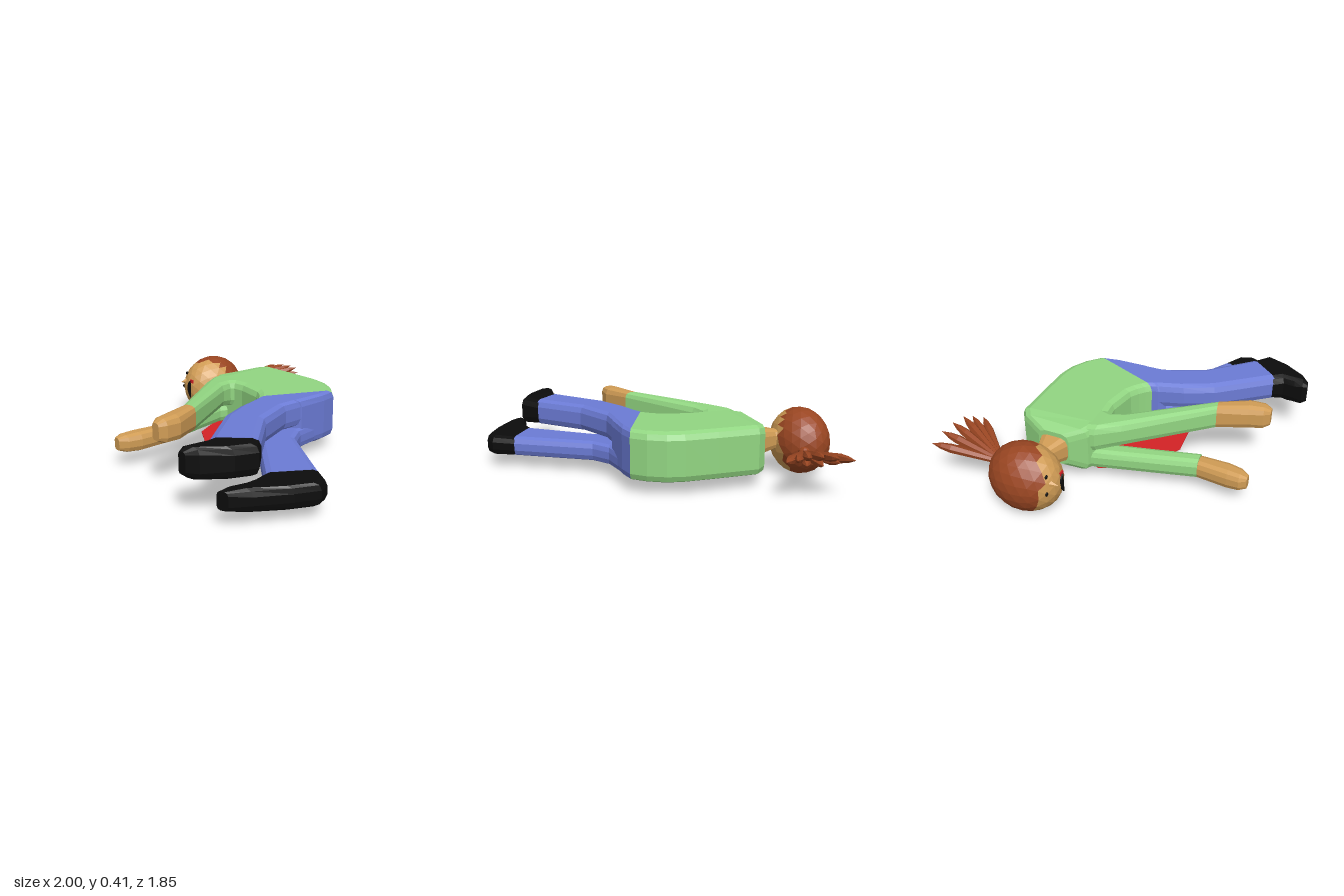
import * as THREE from 'three';

const paint = (name, color) => {
  const m = new THREE.MeshStandardMaterial({ color });
  m.name = name;
  return m;
};

// Rounded-rectangle cross-section between two plan points, from y0 to y1
function section([ax, az, bx, bz, y0, y1]) {
  const w = Math.hypot(bx - ax, bz - az), h = y1 - y0;
  const c = Math.min(0.045, w * 0.32, h * 0.32);
  const ring = [];
  for (let q = 0; q < 4; q++) {
    const su = q === 0 || q === 3 ? 1 : -1, sv = q < 2 ? 1 : -1;
    for (let k = 0; k < 3; k++) {
      const a = (q + k / 2) * Math.PI / 2;
      const u = (w / 2 + su * (w / 2 - c) + c * Math.cos(a)) / w;
      const v = (y0 + y1) / 2 + sv * (h / 2 - c) + c * Math.sin(a);
      ring.push([ax + (bx - ax) * u, v, az + (bz - az) * u]);
    }
  }
  return ring;
}

// Faceted skin over a row of sections, closed at both ends
function loft(stations) {
  const rings = stations.map(section), n = rings[0].length, pos = [];
  const tri = (a, b, c) => pos.push(...a, ...b, ...c);
  for (let i = 0; i < rings.length - 1; i++) {
    for (let j = 0; j < n; j++) {
      const k = (j + 1) % n, p = rings[i], q = rings[i + 1];
      tri(p[j], p[k], q[k]);
      tri(p[j], q[k], q[j]);
    }
  }
  const first = rings[0], last = rings[rings.length - 1];
  for (let j = 1; j < n - 1; j++) {
    tri(first[0], first[j + 1], first[j]);
    tri(last[0], last[j], last[j + 1]);
  }
  const g = new THREE.BufferGeometry();
  g.setAttribute('position', new THREE.Float32BufferAttribute(pos, 3));
  g.computeVertexNormals();
  return g;
}

function flat(g) {
  const f = g.index ? g.toNonIndexed() : g;
  f.computeVertexNormals();
  return f;
}

export function createModel() {
  const green = paint('green shirt', 0x92d682), blue = paint('blue trousers', 0x6c7cd6);
  const skin = paint('skin', 0xd09c55), hair = paint('auburn hair', 0x9a4622);
  const black = paint('black', 0x0c0c0c), red = paint('red', 0xd42226);
  const model = new THREE.Group();
  model.name = 'lyingFigure';
  const add = (name, geometry, material, x = 0, y = 0, z = 0) => {
    const m = new THREE.Mesh(geometry, material);
    m.name = name;
    m.position.set(x, y, z);
    model.add(m);
    return m;
  };
  // Adds a heights pair to plan-only stations
  const at = (y0, y1, rows) => rows.map(r => [...r, y0, y1]);

  // Trunk
  add('neck', loft([
    [-0.7, -0.24, -0.7, -0.34, 0.17, 0.28], [-0.65, -0.235, -0.65, -0.335, 0.165, 0.285],
    [-0.54, -0.18, -0.54, -0.37, 0.14, 0.305]]), skin);
  add('torso', loft([
    [-0.555, -0.18, -0.555, -0.375, 0.12, 0.33], [-0.51, -0.08, -0.5, -0.5, 0.085, 0.365],
    ...at(0.077, 0.375, [[-0.42, -0.04, -0.45, -0.535], [-0.2, -0.06, -0.2, -0.54],
      [-0.03, -0.03, 0, -0.54], [0.02, 0, 0.1, -0.52], [0.055, 0.03, 0.2, -0.47],
      [0.08, 0.06, 0.28, -0.4]])]), green);
  add('hips', loft(at(0.077, 0.375, [[0.08, 0.06, 0.28, -0.4], [0.09, 0.1, 0.3, -0.3],
    [0.12, 0.14, 0.31, -0.1]])), blue);

  // Legs and shoes
  add('leftLeg', loft(at(0.21, 0.375, [[0.08, 0.06, 0.3, -0.25], [0.14, 0.25, 0.31, 0.03],
    [0.22, 0.42, 0.42, 0.28], [0.48, 0.73, 0.66, 0.53]])), blue);
  add('leftShoe', loft([[0.47, 0.72, 0.655, 0.52, 0.215, 0.37],
    ...at(0.208, 0.38, [[0.5, 0.78, 0.745, 0.61], [0.49, 0.85, 0.7, 0.73], [0.49, 0.9, 0.6, 0.87]]),
    [0.505, 0.93, 0.55, 0.92, 0.235, 0.355]]), black);
  add('rightLeg', loft(at(0.077, 0.2, [[0.09, 0.1, 0.3, -0.24], [0.2, 0.2, 0.325, -0.08],
    [0.33, 0.26, 0.4, 0.03], [0.7, 0.54, 0.85, 0.29]])), blue);
  add('rightShoe', loft([[0.69, 0.53, 0.845, 0.285, 0.08, 0.197],
    ...at(0.075, 0.202, [[0.72, 0.63, 0.97, 0.355], [0.72, 0.67, 0.995, 0.42],
      [0.72, 0.72, 0.94, 0.55], [0.7, 0.78, 0.84, 0.73]]),
    [0.71, 0.855, 0.77, 0.83, 0.09, 0.19]]), black);

  // Arms and hands
  add('leftSleeve', loft([[-0.5, -0.1, -0.25, -0.12, 0.2, 0.374], [-0.49, -0.05, -0.28, -0.03, 0.21, 0.378],
    [-0.4, 0.08, -0.25, 0.05, 0.225, 0.383], [-0.035, 0.52, 0.065, 0.5, 0.25, 0.395]]), green);
  add('leftHand', loft([[-0.035, 0.52, 0.065, 0.5, 0.25, 0.395], [0.03, 0.69, 0.16, 0.67, 0.25, 0.4],
    [0.06, 0.775, 0.165, 0.76, 0.255, 0.395], [0.09, 0.81, 0.145, 0.805, 0.275, 0.375]]), skin);
  add('rightSleeve', loft(at(0.09, 0.21, [[-0.5, -0.1, -0.32, -0.1], [-0.48, -0.02, -0.35, 0],
    [-0.4, 0.28, -0.29, 0.25], [-0.335, 0.52, -0.225, 0.51]])), green);
  add('rightHand', loft([[-0.335, 0.52, -0.225, 0.51, 0.09, 0.2], [-0.35, 0.7, -0.225, 0.68, 0.085, 0.2],
    [-0.35, 0.77, -0.24, 0.76, 0.09, 0.195], [-0.325, 0.81, -0.275, 0.81, 0.105, 0.18]]), skin);

  // Head: facets facing the front are skin, the others hair
  const center = new THREE.Vector3(-0.825, 0.205, -0.3), radii = new THREE.Vector3(0.175, 0.205, 0.22);
  const ball = new THREE.IcosahedronGeometry(1, 3), bp = ball.attributes.position;
  const d = new THREE.Vector3();
  ball.clearGroups();
  for (let i = 0; i < bp.count; i += 3) {
    d.set(0, 0, 0);
    for (let k = 0; k < 3; k++) d.add(new THREE.Vector3().fromBufferAttribute(bp, i + k));
    d.normalize();
    ball.addGroup(i, 3, 0.5 * d.x - 0.22 * d.y + 0.8 * d.z > 0.2 ? 0 : 1);
  }
  ball.scale(radii.x, radii.y, radii.z);
  add('head', flat(ball), [skin, hair], center.x, center.y, center.z);

  // Face details set on the head surface
  const faceZ = (x, y) => center.z + radii.z *
    Math.sqrt(1 - ((x - center.x) / radii.x) ** 2 - ((y - center.y) / radii.y) ** 2);
  for (const [x, y] of [[-0.92, 0.205], [-0.895, 0.3]]) {
    const eye = add('eye', new THREE.SphereGeometry(0.013, 8, 6), black, x, y, faceZ(x, y));
    eye.scale.z = 0.5;
  }
  const nose = add('nose', flat(new THREE.ConeGeometry(0.022, 0.05, 6)), skin, -0.88, 0.25, faceZ(-0.88, 0.25) + 0.01);
  nose.rotation.x = Math.PI / 2;
  const smile = new THREE.Shape();
  smile.moveTo(-0.8, 0.15);
  smile.lineTo(-0.8, 0.27);
  smile.quadraticCurveTo(-0.86, 0.22, -0.8, 0.15);
  add('mouth', new THREE.ExtrudeGeometry(smile, { depth: 0.009, bevelEnabled: false }), black, 0, 0, -0.086);
  add('lipMark', new THREE.BoxGeometry(0.03, 0.022, 0.009), red, -0.795, 0.265, faceZ(-0.795, 0.265));

  // Ponytail: a knot and a fan of pointed strands
  const root = new THREE.Vector3(-0.755, 0.185, -0.5);
  const knot = add('hairKnot', flat(new THREE.SphereGeometry(0.036, 8, 6)), hair, root.x, root.y, root.z);
  knot.scale.z = 1.4;
  const profile = [[0, 0], [0.016, 0.03], [0.027, 0.72], [0.019, 0.86], [0, 1]];
  const tips = [[-0.84, 0.25, -0.92], [-0.74, 0.27, -0.92], [-0.65, 0.28, -0.91], [-0.57, 0.28, -0.89],
    [-0.52, 0.26, -0.86], [-0.48, 0.24, -0.81], [-0.79, 0.22, -0.85], [-0.69, 0.21, -0.84], [-0.6, 0.21, -0.82]];
  for (const tip of tips) {
    const dir = new THREE.Vector3(...tip).sub(root), len = dir.length();
    const pts = profile.map(([r, t]) => new THREE.Vector2(r, t * len));
    const strand = add('ponytailStrand', flat(new THREE.LatheGeometry(pts, 6)), hair, root.x, root.y, root.z);
    strand.quaternion.setFromUnitVectors(new THREE.Vector3(0, 1, 0), dir.normalize());
  }

  // Flat red pool under the body and a red patch on the belly
  const pool = new THREE.Shape([[0.12, 0.3], [-0.08, 0.32], [-0.32, 0.18], [-0.45, -0.05], [-0.39, -0.17],
    [-0.07, -0.25], [0.17, -0.19], [0.24, 0.16]].map(([x, z]) => new THREE.Vector2(x, -z)));
  const poolGeo = new THREE.ExtrudeGeometry(pool, { depth: 0.006, bevelEnabled: false });
  poolGeo.rotateX(-Math.PI / 2);
  add('pool', poolGeo, red, 0, 0.07, 0);
  const patch = add('bellyPatch', new THREE.BoxGeometry(0.15, 0.13, 0.009), red, -0.15, 0.145, -0.048);
  patch.rotation.y = -0.17;

  return model;
}
